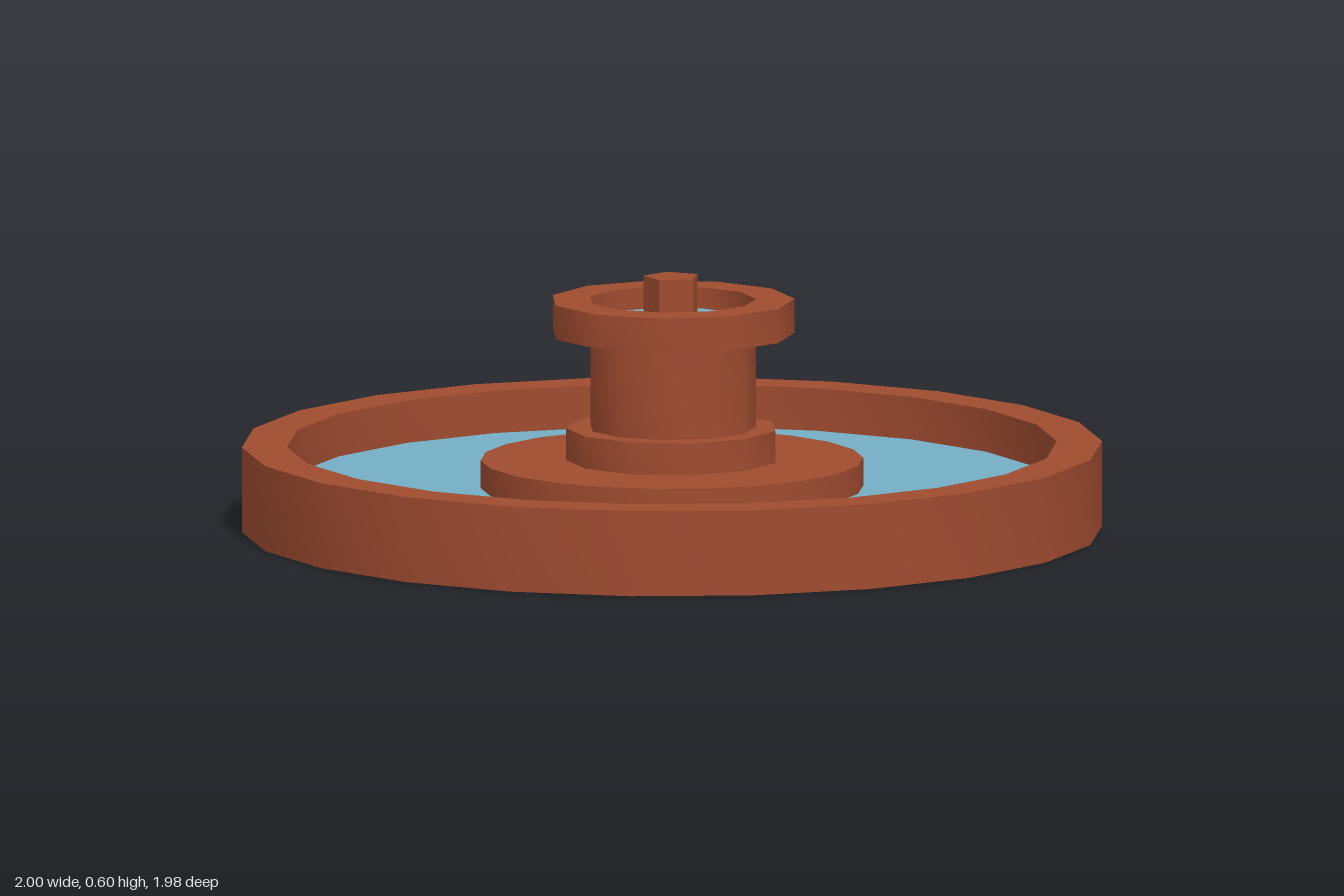
import * as THREE from 'three';
import { toCreasedNormals } from 'three/addons/utils/BufferGeometryUtils.js';

const clay = new THREE.MeshStandardMaterial({ color: 0xa04c30 });
const water = new THREE.MeshStandardMaterial({ color: 0x74afc5 });

export function createModel() {
  const fountain = new THREE.Group();
  fountain.name = 'fountain';

  // Revolves a [radius, height] profile; start is the angle of the first corner from +z
  function turned(name, profile, sides, start, material = clay) {
    const points = profile.map(([r, y]) => new THREE.Vector2(r, y));
    const lathe = new THREE.LatheGeometry(points, sides, start);
    const mesh = new THREE.Mesh(toCreasedNormals(lathe, 0.6), material);
    mesh.name = name;
    fountain.add(mesh);
  }
  // Solid drum and flat water surface profiles
  const drum = (r, y0, y1) => [[0, y0], [r, y0], [r, y1], [0, y1]];
  const disc = (r, y) => [[r, y], [0, y]];
  const right = Math.PI / 2, left = -Math.PI / 2;

  // Wide pool with a raised rim
  turned('poolBasin', [[0, 0], [1, 0], [1, 0.2], [0.895, 0.2], [0.895, 0.08], [0, 0.08]], 22, right);
  turned('poolWater', disc(0.895, 0.1), 22, right, water);

  // Stepped pedestal
  turned('plinth', drum(0.445, 0.08, 0.165), 22, right);
  turned('collar', drum(0.247, 0.165, 0.24), 11, right);
  turned('column', drum(0.195, 0.24, 0.46), 11, left);

  // Upper bowl with its water and spout
  turned('upperBowl', [[0, 0.46], [0.285, 0.46], [0.285, 0.54], [0.195, 0.54], [0.195, 0.475], [0, 0.475]], 11, left);
  turned('upperWater', disc(0.195, 0.49), 11, left, water);
  turned('spout', drum(0.067, 0.475, 0.595), 5, -0.1);

  return fountain;
}
